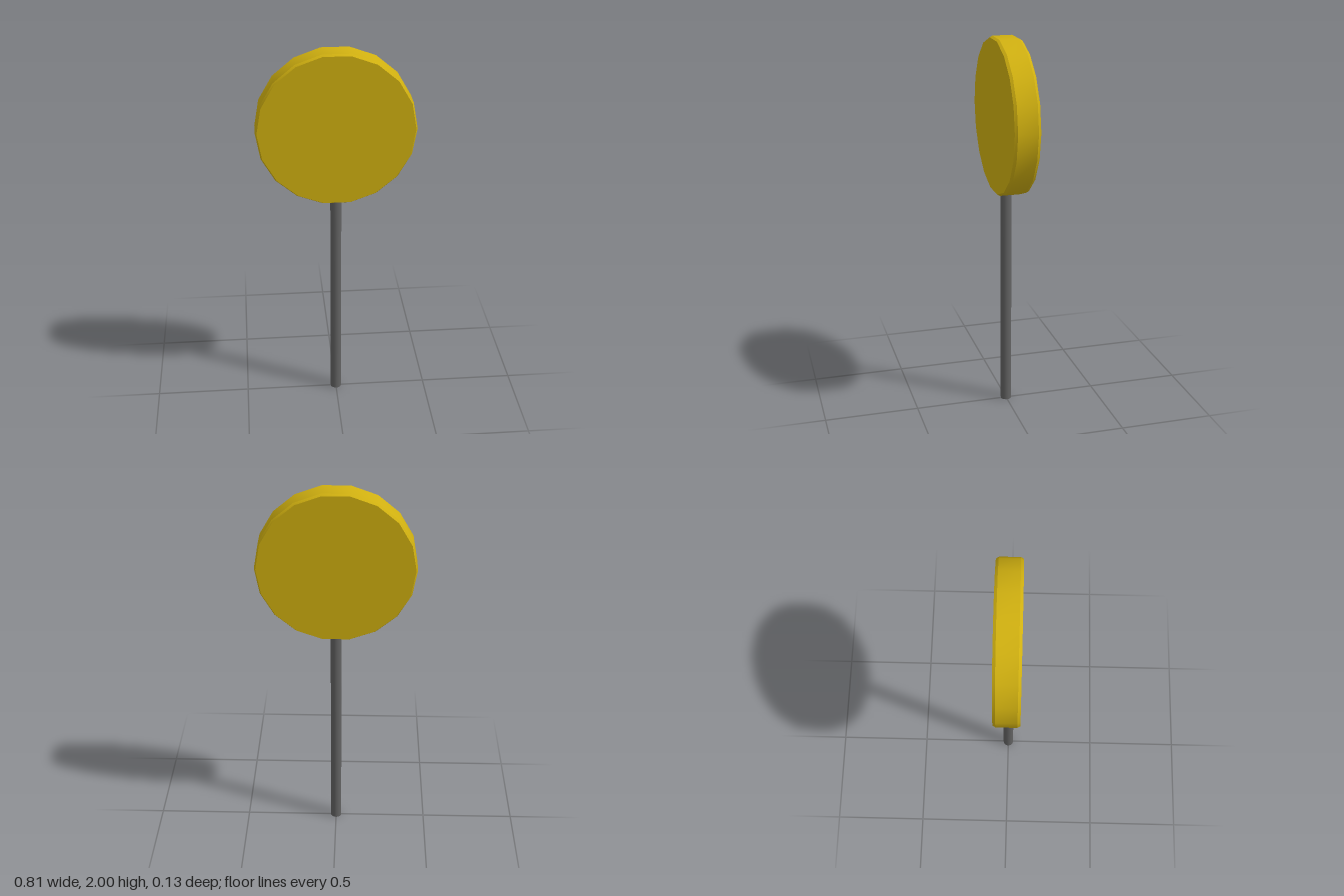
import * as THREE from 'three';
import { toCreasedNormals } from 'three/addons/utils/BufferGeometryUtils.js';

export function createModel() {
  const group = new THREE.Group();
  const yellow = new THREE.MeshStandardMaterial({ color: 0xd0b010 });
  const darkGrey = new THREE.MeshStandardMaterial({ color: 0x626262 });

  // Disc: 18-sided, chamfered at both rims, axis along z with a corner on +x
  const sides = 18, radius = 0.407, face = 0.399, half = 0.066, rim = 0.052;
  const profile = [[0, -half], [face, -half], [radius, -rim], [radius, rim], [face, half], [0, half]]
    .map(([r, y]) => new THREE.Vector2(r, y));
  const discGeometry = new THREE.LatheGeometry(profile, sides);
  discGeometry.rotateY(Math.PI / 2).rotateX(Math.PI / 2);
  const disc = new THREE.Mesh(toCreasedNormals(discGeometry, THREE.MathUtils.degToRad(25)), yellow);
  disc.name = 'disc';
  disc.position.y = 2 - radius * Math.cos(Math.PI / sides);
  group.add(disc);

  // Stick: thin round rod running up into the disc's lower rim
  const stickHeight = 1.22;
  const stick = new THREE.Mesh(new THREE.CylinderGeometry(0.029, 0.029, stickHeight, 18), darkGrey);
  stick.name = 'stick';
  stick.position.y = stickHeight / 2;
  group.add(stick);

  return group;
}
